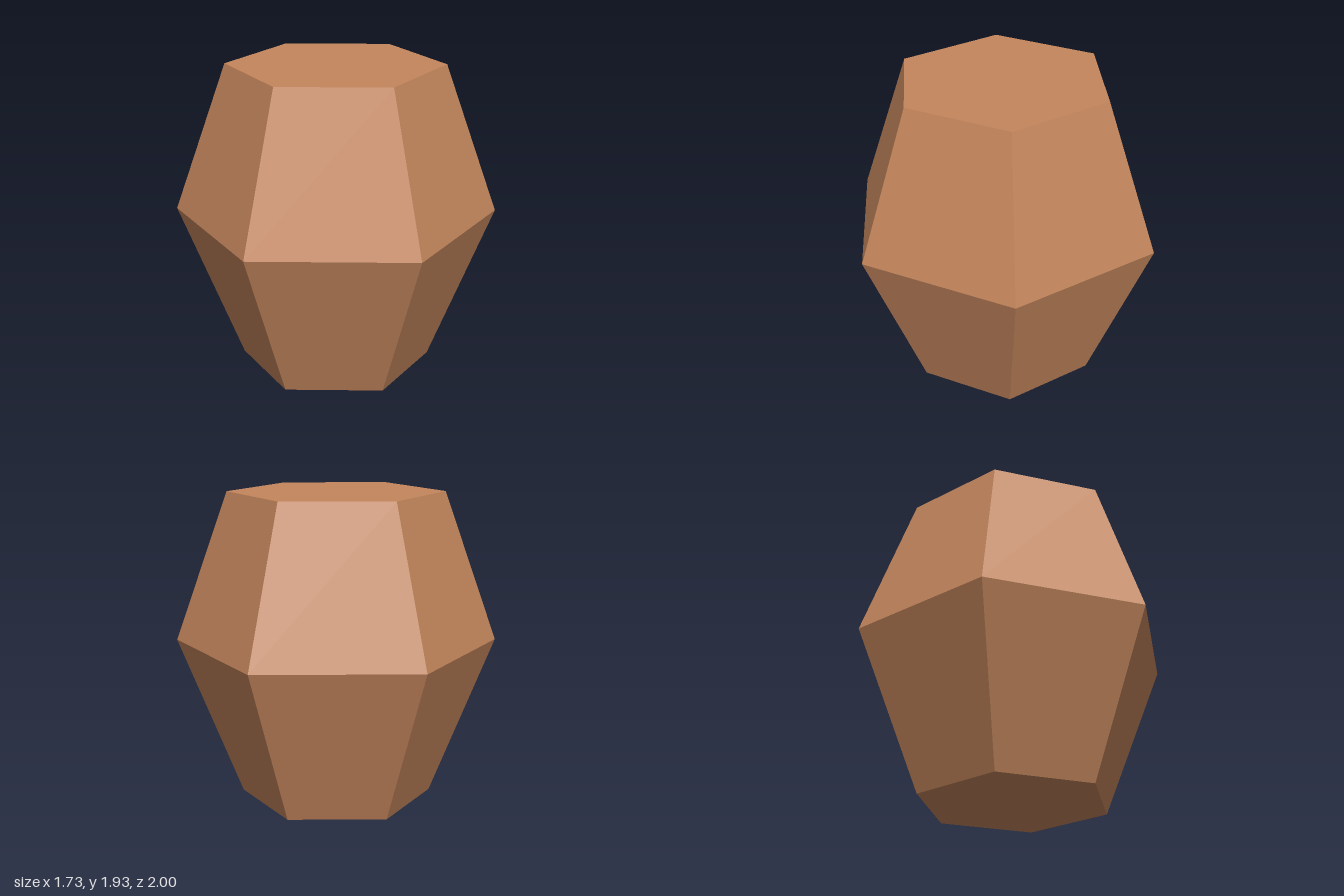
import * as THREE from 'three';

// Faceted six-sided barrel: two tapered halves meeting at the widest ring
export function createModel() {
  const group = new THREE.Group();
  group.name = 'barrel';
  const wood = new THREE.MeshStandardMaterial({ color: 0xc4865c });
  wood.name = 'warm brown';

  const sides = 6, bottomRadius = 0.6, middleRadius = 1, topRadius = 0.67;
  const middleY = 1, topY = 1.93;

  function add(name, geometry, y) {
    // Separate vertices give every facet its own flat normal
    const flat = geometry.toNonIndexed();
    flat.computeVertexNormals();
    const mesh = new THREE.Mesh(flat, wood);
    mesh.name = name;
    mesh.position.y = y;
    group.add(mesh);
    return mesh;
  }

  // Sloping walls
  add('lowerHalf', new THREE.CylinderGeometry(middleRadius, bottomRadius, middleY, sides, 1, true), middleY / 2);
  add('upperHalf', new THREE.CylinderGeometry(topRadius, middleRadius, topY - middleY, sides, 1, true), (middleY + topY) / 2);

  // Flat hexagonal ends, with a corner towards the front
  const cap = (radius) => new THREE.CircleGeometry(radius, sides, Math.PI / 2);
  add('lid', cap(topRadius), topY).rotation.x = -Math.PI / 2;
  add('base', cap(bottomRadius), 0).rotation.x = Math.PI / 2;

  return group;
}
